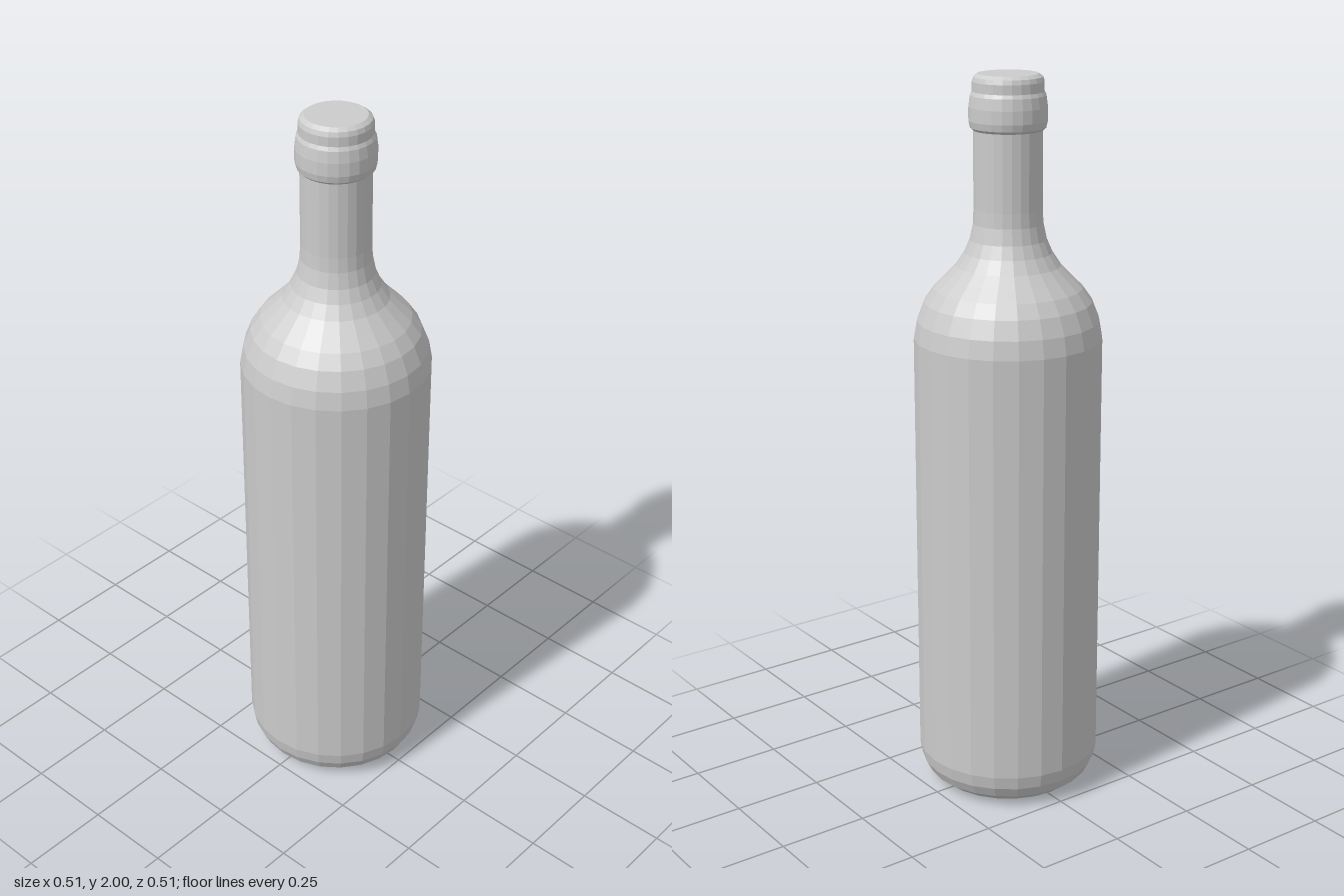
import * as THREE from 'three';

const SIDES = 24;

// Turns a [radius, height] profile, listed from bottom to top, into a faceted part
function turned(name, profile) {
  const points = profile.map(([r, y]) => new THREE.Vector2(r, y));
  const material = new THREE.MeshStandardMaterial({ color: 0xcccccc, flatShading: true });
  const mesh = new THREE.Mesh(new THREE.LatheGeometry(points, SIDES), material);
  mesh.name = name;
  return mesh;
}

export function createModel() {
  const bottle = new THREE.Group();
  bottle.name = 'bottle';

  // Hollow underside, rising to a dome in the middle
  bottle.add(turned('base', [
    [0, 0.07], [0.05, 0.065], [0.095, 0.045], [0.13, 0.015], [0.155, 0.002],
    [0.175, 0], [0.205, 0.01], [0.232, 0.032], [0.248, 0.063], [0.255, 0.1],
  ]));

  // Straight wall
  bottle.add(turned('body', [[0.255, 0.1], [0.255, 1.3]]));

  // Rounded shoulder sweeping into the neck
  bottle.add(turned('shoulder', [
    [0.255, 1.3], [0.246, 1.35], [0.226, 1.4], [0.2, 1.437], [0.17, 1.467],
    [0.141, 1.497], [0.118, 1.532], [0.103, 1.567], [0.094, 1.61],
  ]));

  bottle.add(turned('neck', [[0.094, 1.61], [0.092, 1.65], [0.092, 1.86]]));

  // Raised collar under the mouth
  bottle.add(turned('collar', [
    [0.092, 1.855], [0.1, 1.862], [0.104, 1.88], [0.104, 1.915], [0.1, 1.945], [0.095, 1.955],
  ]));

  // Closed mouth with a softened rim
  bottle.add(turned('mouth', [
    [0.095, 1.955], [0.095, 1.98], [0.091, 1.992], [0.08, 2], [0, 2],
  ]));

  return bottle;
}
